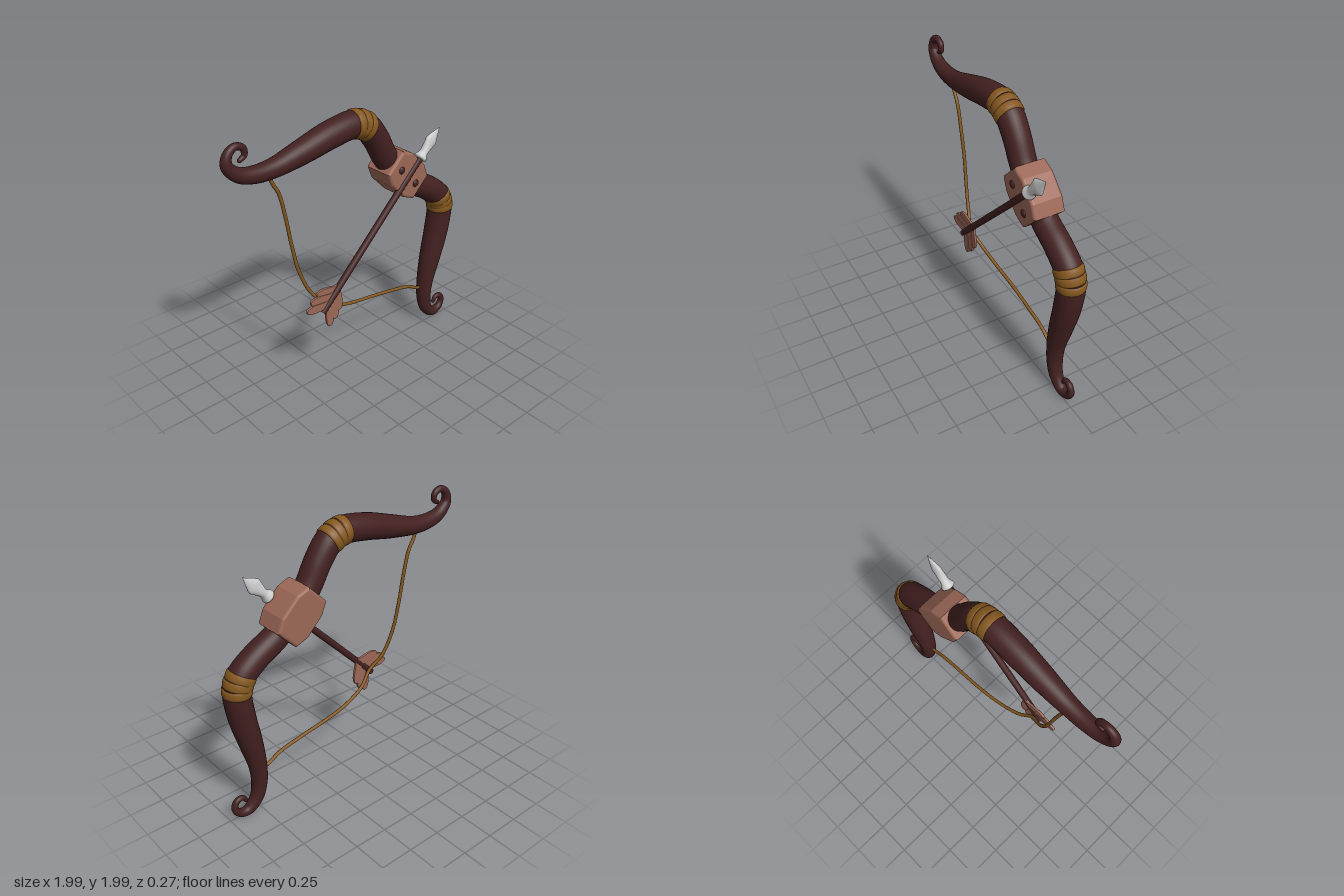
import * as THREE from 'three';

const material = (color) => new THREE.MeshStandardMaterial({ color, roughness: 0.8 });
const Z = -0.017; // depth of the bow's centre plane
const AXIS = 1.007; // the bow mirrors about the line y = x + AXIS
const mirror = ([x, y, ...rest]) => [y - AXIS, x + AXIS, ...rest];

// Round tube of varying radius along a planar path of [x, y, radius], with domed ends
function sweep(points, steps, sides) {
  const curve = new THREE.CatmullRomCurve3(points.map((p) => new THREE.Vector3(...p)));
  const rings = [];
  const addRing = (t, push, scale) => {
    const p = curve.getPoint(t);
    const d = curve.getTangent(t).setZ(0).normalize();
    rings.push({ x: p.x + d.x * push * p.z, y: p.y + d.y * push * p.z, r: p.z * scale, d });
  };
  const dome = [0, 0.25, 0.5, 0.75].map((f) => f * Math.PI / 2);
  for (const a of dome) addRing(0, -Math.cos(a), Math.max(Math.sin(a), 0.001));
  for (let i = 0; i <= steps; i++) addRing(i / steps, 0, 1);
  for (const a of dome.slice().reverse()) addRing(1, Math.cos(a), Math.max(Math.sin(a), 0.001));

  const pos = [], index = [];
  rings.forEach(({ x, y, r, d }, i) => {
    for (let j = 0; j < sides; j++) {
      const a = (j / sides) * Math.PI * 2, c = Math.cos(a) * r;
      pos.push(x - d.y * c, y + d.x * c, Math.sin(a) * r);
      if (i === rings.length - 1) continue;
      const k = (j + 1) % sides, m = i * sides, n = m + sides;
      index.push(m + j, m + k, n + j, m + k, n + k, n + j);
    }
  });
  const g = new THREE.BufferGeometry();
  g.setAttribute('position', new THREE.Float32BufferAttribute(pos, 3));
  g.setIndex(index);
  g.computeVertexNormals();
  return g;
}

// Flat feather lobe pointing along +x
function featherGeometry(length, w) {
  const s = new THREE.Shape();
  s.moveTo(0, -w * 0.8);
  s.lineTo(length * 0.6, -w);
  s.bezierCurveTo(length * 0.85, -w, length, -w * 0.6, length, 0);
  s.bezierCurveTo(length, w * 0.6, length * 0.85, w, length * 0.6, w);
  s.lineTo(0, w * 0.8);
  return new THREE.ExtrudeGeometry(s, {
    depth: 0.01, bevelThickness: 0.005, bevelSize: 0.006, bevelOffset: -0.006, bevelSegments: 2, curveSegments: 8,
  });
}

export function createModel() {
  const root = new THREE.Group();
  const wood = material(0x432020);
  const leather = material(0x9c6857);
  const cord = material(0x85581f);
  const steel = material(0xcccccc);
  const add = (name, geometry, mat, parent = root) => {
    const mesh = new THREE.Mesh(geometry, mat);
    mesh.name = name;
    parent.add(mesh);
    return mesh;
  };

  // Bow: curled tip to grip, then mirrored
  const limb = [
    [-0.872, 1.882, 0.015], [-0.838, 1.905, 0.019], [-0.842, 1.952, 0.022], [-0.895, 1.975, 0.024],
    [-0.95, 1.94, 0.03], [-0.962, 1.87, 0.038], [-0.89, 1.795, 0.048], [-0.78, 1.765, 0.056],
    [-0.635, 1.767, 0.064], [-0.41, 1.813, 0.082], [-0.195, 1.864, 0.092], [0, 1.888, 0.094],
    [0.066, 1.875, 0.094], [0.125, 1.838, 0.094], [0.21, 1.728, 0.092], [0.3, 1.57, 0.09],
  ];
  const bow = [...limb, [0.425, 1.432, 0.09], ...limb.map(mirror).reverse()];
  add('bow', sweep(bow, 220, 28), wood).position.z = Z;

  // Cord bindings at the bends, three rounded bands each
  const bandProfile = [[0.085, -0.031], [0.096, -0.029], [0.1, -0.018], [0.101, 0], [0.1, 0.018], [0.096, 0.029], [0.085, 0.031]]
    .map((p) => new THREE.Vector2(...p));
  const bandGeometry = new THREE.LatheGeometry(bandProfile, 32);
  for (const [x, y, angle] of [[0.02, 1.886, -4], [0.065, 1.874, -17], [0.105, 1.852, -27]]) {
    for (const upper of [true, false]) {
      const [bx, by] = upper ? [x, y] : mirror([x, y]);
      const band = add(upper ? 'upperBinding' : 'lowerBinding', bandGeometry, cord);
      band.position.set(bx, by, Z);
      band.rotation.z = THREE.MathUtils.degToRad((upper ? angle : 90 - angle) - 90);
    }
  }

  // Leather grip block: wide in the middle, bevelled
  const outline = [[0.178, 0.098], [0.085, 0.138], [-0.085, 0.138], [-0.178, 0.098],
    [-0.178, -0.098], [-0.085, -0.138], [0.085, -0.138], [0.178, -0.098]].map((p) => new THREE.Vector2(...p));
  const grip = add('grip', new THREE.ExtrudeGeometry(new THREE.Shape(outline), {
    depth: 0.19, bevelThickness: 0.02, bevelSize: 0.02, bevelOffset: -0.02, bevelSegments: 4,
  }), leather);
  grip.position.set(0.423, 1.435, -0.112);
  grip.rotation.z = -Math.PI / 4;

  // Grip studs
  for (const [x, y] of [[0.35, 1.497], [0.489, 1.358]]) {
    const stud = add('gripStud', new THREE.SphereGeometry(0.027, 18, 12), wood);
    stud.position.set(x, y, 0.097);
    stud.scale.z = 0.55;
  }

  // Bowstring, drawn back to the tail of the arrow
  const half = [[-0.67, 1.735, Z], [-0.655, 1.675, Z], [-0.607, 1.585, Z], [-0.564, 1.4, Z], [-0.527, 1.187, Z],
    [-0.484, 0.973, -0.005], [-0.41, 0.79, 0.02]];
  const stringPath = [...half, [-0.318, 0.689, 0.05], ...half.map(mirror).reverse()].map((p) => new THREE.Vector3(...p));
  add('bowstring', new THREE.TubeGeometry(new THREE.CatmullRomCurve3(stringPath), 90, 0.0125, 10), cord);

  // Arrow, built along +y and then tilted
  const arrow = new THREE.Group();
  arrow.name = 'arrow';
  arrow.position.set(-0.367, 0.64, 0.09);
  arrow.rotation.z = -Math.PI / 4;
  root.add(arrow);
  add('arrowShaft', new THREE.CylinderGeometry(0.024, 0.024, 1.29, 16), wood, arrow).position.y = 0.645;

  // Arrowhead: flared collar, narrow neck and a flattened leaf blade
  const headProfile = [[0, 0], [0.036, 0], [0.047, 0.008], [0.046, 0.018], [0.034, 0.04], [0.03, 0.06],
    [0.037, 0.09], [0.05, 0.13], [0.056, 0.15], [0.05, 0.168], [0.027, 0.215], [0, 0.268]].map((p) => new THREE.Vector2(...p));
  const headGeometry = new THREE.LatheGeometry(headProfile, 20);
  const hp = headGeometry.attributes.position;
  for (let i = 0; i < hp.count; i++) {
    hp.setZ(i, hp.getZ(i) * (1 - 0.55 * THREE.MathUtils.smoothstep(hp.getY(i), 0.05, 0.15)));
  }
  headGeometry.computeVertexNormals();
  add('arrowhead', headGeometry, steel, arrow).position.y = 1.262;

  // Fletching: three overlapping lobes either side of the shaft
  const lobes = [[[-0.31, 0.69], [-0.507, 0.702], 0.033], [[-0.24, 0.725], [-0.468, 0.755], 0.037],
    [[-0.2, 0.765], [-0.412, 0.796], 0.036]];
  lobes.forEach(([from, to, width], i) => {
    for (const m of [(p) => p, mirror]) {
      const [ax, ay] = m(from), [bx, by] = m(to);
      const feather = add('feather', featherGeometry(Math.hypot(bx - ax, by - ay), width), leather);
      feather.position.set(ax, ay, 0.086 - i * 0.005);
      feather.rotation.z = Math.atan2(by - ay, bx - ax);
    }
  });
  return root;
}
